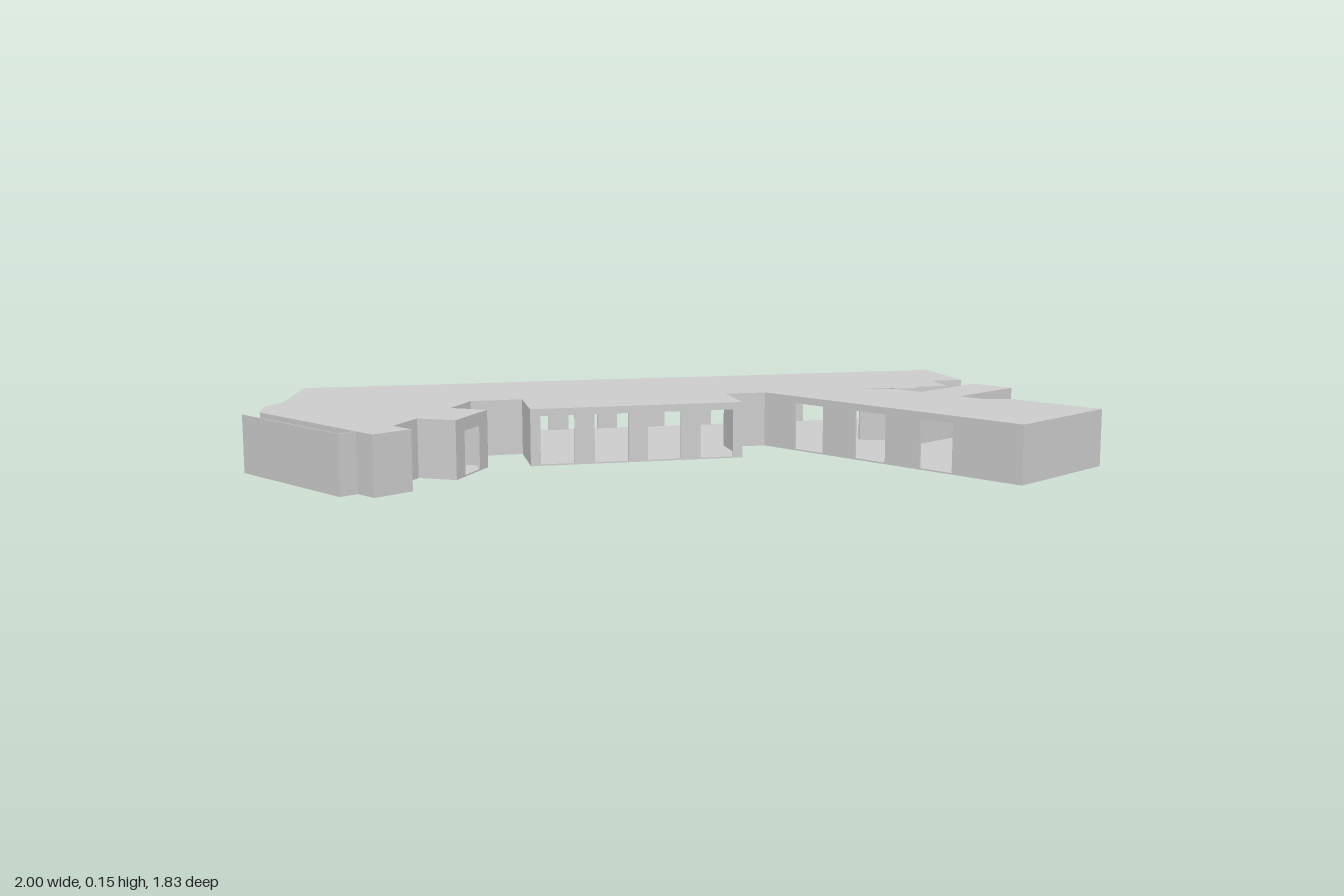
import * as THREE from 'three';

const HEIGHT = 0.15, FLOOR = 0.004, CEILING = 0.138, WALL = 0.006;

// Footprint corners [x, z], clockwise from above, starting at the back peak
const OUTLINE = [
  [-0.615, -0.915], [0.995, 0.09], [0.86, 0.31], [0.78, 0.26], [0.715, 0.36],
  [0.635, 0.305], [0.62, 0.33], [0.56, 0.29], [0.57, 0.27], [0.49, 0.22],
  [0.555, 0.3], [0.555, 0.385], [0.81, 0.385], [0.81, 0.515], [0.555, 0.515],
  [0.555, 0.59], [0.61, 0.645], [0.61, 0.915], [0.24, 0.915], [0.24, 0.08],
  [0.145, 0.02], [0.055, 0.165], [-0.43, -0.135], [-0.325, -0.295], [-0.445, -0.365],
  [-0.56, -0.3], [-0.515, -0.205], [-0.68, -0.12], [-0.73, -0.21], [-0.84, -0.155],
  [-0.84, -0.08], [-0.95, -0.08], [-0.95, -0.58], [-0.89, -0.665], [-0.81, -0.7],
];

// Evenly spaced openings as [centre, width, top]
const row = (count, first, pitch, width, top = 0.131) =>
  Array.from({ length: count }, (_, i) => [first + i * pitch, width, top]);

// Openings keyed by the wall's first corner
const OPENINGS = {
  0: row(13, 0.073, 0.146, 0.087),
  18: row(3, 0.255, 0.21, 0.1),
  21: row(4, 0.0713, 0.1426, 0.09),
  26: row(1, 0.093, 0, 0.086, 0.116),
};

export function createModel() {
  const model = new THREE.Group();
  const material = new THREE.MeshStandardMaterial({ color: 0xcccccc, flatShading: true });

  const add = (name, geometry) => {
    const mesh = new THREE.Mesh(geometry, material);
    mesh.name = name;
    model.add(mesh);
    return mesh;
  };
  const extrude = (shape, depth) =>
    new THREE.ExtrudeGeometry(shape, { depth, bevelEnabled: false });
  const shapeOf = (points) => new THREE.Shape(points.map(([x, y]) => new THREE.Vector2(x, y)));

  // Floor and roof slabs share the footprint
  const slab = (name, bottom, top) => {
    const geometry = extrude(shapeOf(OUTLINE.map(([x, z]) => [x, -z])), top - bottom);
    add(name, geometry.rotateX(-Math.PI / 2).translate(0, bottom, 0));
  };
  slab('floor', 0, FLOOR);
  slab('roof', CEILING, HEIGHT);

  // Thin walls around the hollow interior, with openings where there are arcades
  OUTLINE.forEach(([x, z], i) => {
    const [x2, z2] = OUTLINE[(i + 1) % OUTLINE.length];
    const length = Math.hypot(x2 - x, z2 - z);
    const points = [[0, FLOOR]];
    for (const [centre, width, top] of OPENINGS[i] ?? []) {
      const a = centre - width / 2, b = centre + width / 2;
      points.push([a, FLOOR], [a, top], [b, top], [b, FLOOR]);
    }
    points.push([length, FLOOR], [length, CEILING], [0, CEILING]);
    const wall = add(OPENINGS[i] ? 'arcadeWall' : 'wall', extrude(shapeOf(points), WALL));
    wall.position.set(x, 0, z);
    wall.rotation.y = Math.atan2(z - z2, x2 - x);
  });

  // Side strip with a coved gutter along its top
  const profile = [[-0.95, 0], [-0.95, 0.118]];
  for (let i = 1; i <= 6; i++) {
    const t = (i / 6) * Math.PI / 2;
    profile.push([-0.95 - 0.047 * Math.sin(t), HEIGHT - 0.032 * Math.cos(t)]);
  }
  profile.push([-1, HEIGHT], [-1, 0]);
  add('sideGutter', extrude(shapeOf(profile), 0.43)).position.z = -0.58;
  add('gutterEnd', new THREE.BoxGeometry(0.05, HEIGHT, 0.004)).position.set(-0.975, HEIGHT / 2, -0.148);

  return model;
}
